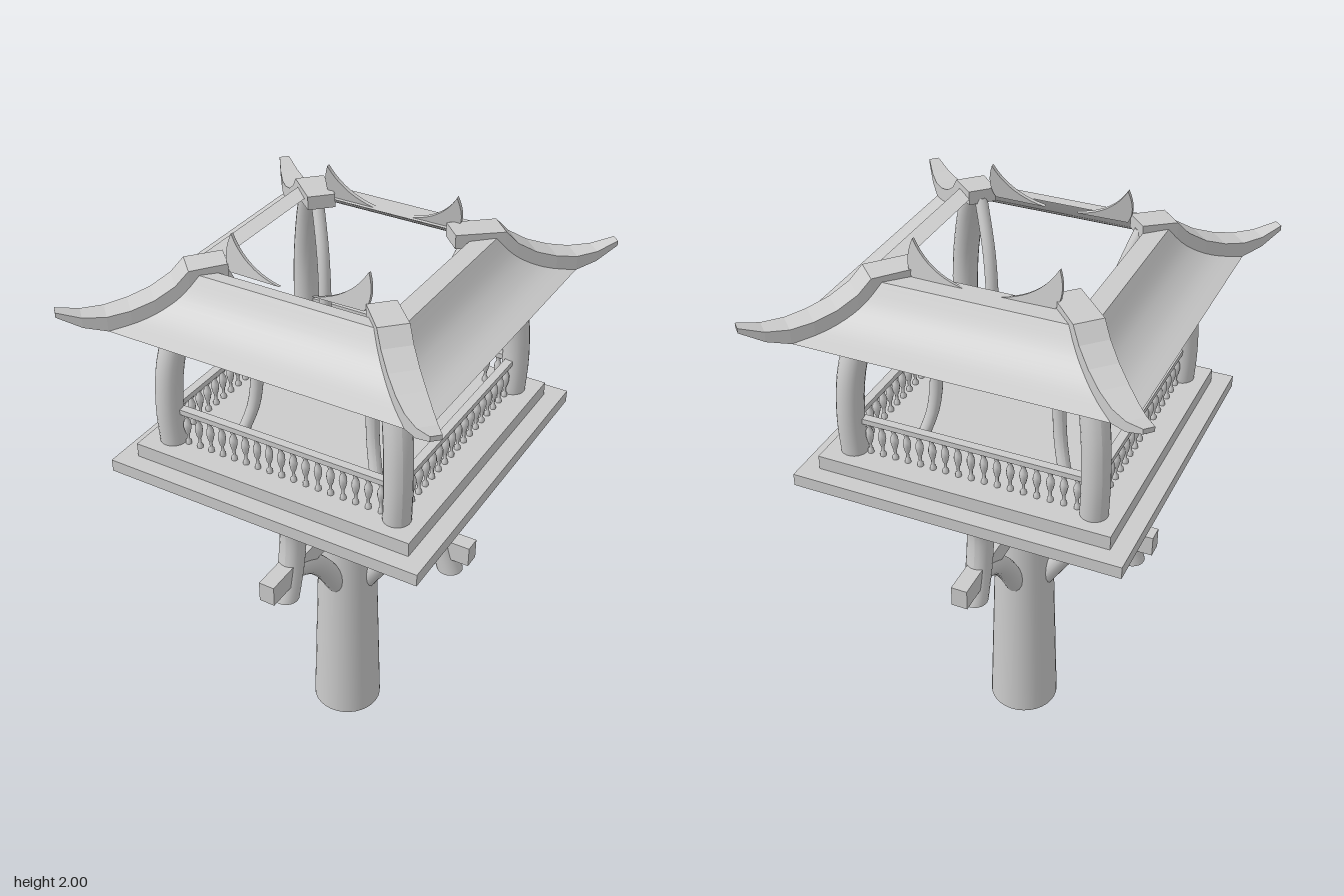
import * as THREE from 'three';

const grey = new THREE.MeshStandardMaterial({ color: 0xcccccc });
const thin = new THREE.MeshStandardMaterial({ color: 0xcccccc, side: THREE.DoubleSide });
const flat = new THREE.MeshStandardMaterial({ color: 0xcccccc, flatShading: true });

function add(parent, name, geometry, material = grey) {
  const mesh = new THREE.Mesh(geometry, material);
  mesh.name = name;
  parent.add(mesh);
  return mesh;
}

function box(parent, name, w, h, d, y) {
  const mesh = add(parent, name, new THREE.BoxGeometry(w, h, d));
  mesh.position.y = y;
  return mesh;
}

// Upright round post bent along a profile of [distance from axis, y]; ends stay level
function bentPost(radius, points) {
  const curve = new THREE.SplineCurve(points.map(p => new THREE.Vector2(...p)));
  const geo = new THREE.CylinderGeometry(radius, radius, 1, 20, 16);
  const pos = geo.attributes.position;
  for (let i = 0; i < pos.count; i++) {
    const c = curve.getPoint(pos.getY(i) + 0.5);
    pos.setXYZ(i, pos.getX(i), c.y, pos.getZ(i) + c.x);
  }
  geo.computeVertexNormals();
  return geo;
}

// Rectangular cross-sections [z, top, bottom, width] joined along z
function ridgeGeometry(sections) {
  const pos = [], index = [];
  sections.forEach(([z, top, bottom, w], s) => {
    const h = w / 2;
    pos.push(h, top, z, -h, top, z, -h, bottom, z, h, bottom, z);
    if (s === sections.length - 1) return;
    for (let k = 0; k < 4; k++) {
      const a = s * 4 + k, b = s * 4 + (k + 1) % 4;
      index.push(a, b, b + 4, a, b + 4, a + 4);
    }
  });
  const e = (sections.length - 1) * 4;
  index.push(0, 2, 1, 0, 3, 2, e, e + 1, e + 2, e, e + 2, e + 3);
  const geo = new THREE.BufferGeometry();
  geo.setAttribute('position', new THREE.Float32BufferAttribute(pos, 3));
  geo.setIndex(index);
  geo.computeVertexNormals();
  return geo;
}

// One mitred side of the concave roof
function roofPanelGeometry() {
  const profile = new THREE.SplineCurve([[0.547, 1.735], [0.47, 1.765], [0.405, 1.815], [0.356, 1.885]]
    .map(p => new THREE.Vector2(...p))).getPoints(12);
  const pos = [], index = [];
  profile.forEach((p, i) => {
    pos.push(-p.x, p.y, p.x, p.x, p.y, p.x);
    const a = i * 2;
    if (i < profile.length - 1) index.push(a, a + 1, a + 3, a, a + 3, a + 2);
  });
  const geo = new THREE.BufferGeometry();
  geo.setAttribute('position', new THREE.Float32BufferAttribute(pos, 3));
  geo.setIndex(index);
  geo.computeVertexNormals();
  return geo;
}

export function createModel() {
  const model = new THREE.Group();
  model.name = 'watchtower';

  // Trunk, open at the bottom
  add(model, 'trunk', new THREE.CylinderGeometry(0.088, 0.125, 1.21, 32, 1, true), thin).position.y = 0.605;

  // Crossed beams and stepped deck
  box(model, 'beamAcross', 0.955, 0.073, 0.055, 0.893);
  box(model, 'beamAlong', 0.055, 0.073, 1.025, 0.893);
  box(model, 'lowerDeck', 1.095, 0.042, 1.095, 1.224);
  box(model, 'upperDeck', 0.975, 0.048, 0.975, 1.269);

  // Parts repeated on the four sides
  const lowerPost = bentPost(0.044, [[0.4, 0.797], [0.367, 0.9], [0.35, 1.0], [0.352, 1.08], [0.385, 1.21]]);
  const brace = new THREE.TubeGeometry(new THREE.CatmullRomCurve3([
    [0.06, 0.58], [0.1, 0.645], [0.16, 0.735], [0.24, 0.82], [0.32, 0.87], [0.37, 0.89],
  ].map(([r, y]) => new THREE.Vector3(0, y, r))), 24, 0.037, 16);
  const roofPanel = roofPanelGeometry();
  const handrail = new THREE.BoxGeometry(0.78, 0.018, 0.028);
  const baluster = new THREE.LatheGeometry([
    [0.01, 0], [0.01, 0.012], [0.005, 0.018], [0.005, 0.035], [0.009, 0.045], [0.013, 0.065],
    [0.012, 0.08], [0.006, 0.095], [0.009, 0.102], [0.009, 0.114],
  ].map(p => new THREE.Vector2(...p)), 10);
  for (let i = 0; i < 4; i++) {
    const side = new THREE.Group();
    side.name = 'side' + (i + 1);
    side.rotation.y = i * Math.PI / 2;
    model.add(side);
    add(side, 'lowerPost', lowerPost);
    add(side, 'brace', brace);
    add(side, 'roofPanel', roofPanel, thin);
    add(side, 'handrail', handrail).position.set(0, 1.413, 0.4);
    for (let k = -8; k <= 8; k++) {
      add(side, 'baluster', baluster, thin).position.set(k * 0.0435, 1.292, 0.4);
    }
  }

  // Flat rim around the roof opening
  const rim = new THREE.Shape([[-0.357, -0.357], [0.357, -0.357], [0.357, 0.357], [-0.357, 0.357]]
    .map(p => new THREE.Vector2(...p)));
  rim.holes.push(new THREE.Path([[-0.293, -0.316], [-0.293, 0.27], [0.293, 0.27], [0.293, -0.316]]
    .map(p => new THREE.Vector2(...p))));
  add(model, 'roofRim', new THREE.ShapeGeometry(rim).rotateX(-Math.PI / 2).translate(0, 1.885, 0), thin);

  // Parts repeated on the four corners
  const q = Math.SQRT2;
  const cornerPost = bentPost(0.044, [[0.403 * q, 1.285], [0.406 * q, 1.42], [0.395 * q, 1.58], [0.36 * q, 1.74], [0.315 * q, 1.87]]);
  const innerPost = bentPost(0.021, [[0.245 * q, 1.285], [0.218 * q, 1.38], [0.207 * q, 1.5], [0.211 * q, 1.62], [0.23 * q, 1.74], [0.275 * q, 1.88]]);

  // Curved horn standing on the rim
  const hornShape = new THREE.Shape();
  hornShape.moveTo(0.228, 2.0);
  hornShape.quadraticCurveTo(0.255, 1.93, 0.225, 1.885);
  hornShape.lineTo(0.055, 1.883);
  hornShape.quadraticCurveTo(0.175, 1.905, 0.228, 2.0);
  const horn = new THREE.ExtrudeGeometry(hornShape, { depth: 0.012, bevelEnabled: false, curveSegments: 10 });
  horn.translate(0, 0, -0.006);

  for (const sx of [-1, 1]) for (const sz of [-1, 1]) {
    const corner = new THREE.Group();
    corner.name = (sz > 0 ? 'front' : 'back') + (sx > 0 ? 'Left' : 'Right') + 'Corner';
    corner.rotation.y = Math.atan2(sx, sz);
    model.add(corner);
    add(corner, 'cornerPost', cornerPost);
    add(corner, 'innerPost', innerPost);
    const start = sz > 0 ? 0.262 : 0.23;
    add(corner, 'hipRidge', ridgeGeometry([
      [start, 1.91, 1.865, 0.09], [0.345, 1.902, 1.85, 0.095], [0.375, 1.858, 1.805, 0.094],
      [0.42, 1.82, 1.765, 0.092], [0.47, 1.795, 1.742, 0.088], [0.52, 1.782, 1.735, 0.078],
      [0.57, 1.785, 1.752, 0.06], [0.622, 1.806, 1.79, 0.034],
    ].map(([d, ...rest]) => [d * q, ...rest])), flat);

    const hornMesh = add(model, 'horn', horn.clone().rotateY(sx > 0 ? 0 : Math.PI));
    hornMesh.position.z = sz * 0.29;
    // Lean slightly inward about the rim
    hornMesh.geometry.translate(0, -1.885, 0).rotateX(-sz * 0.18);
    hornMesh.position.y = 1.885;
  }
  return model;
}
